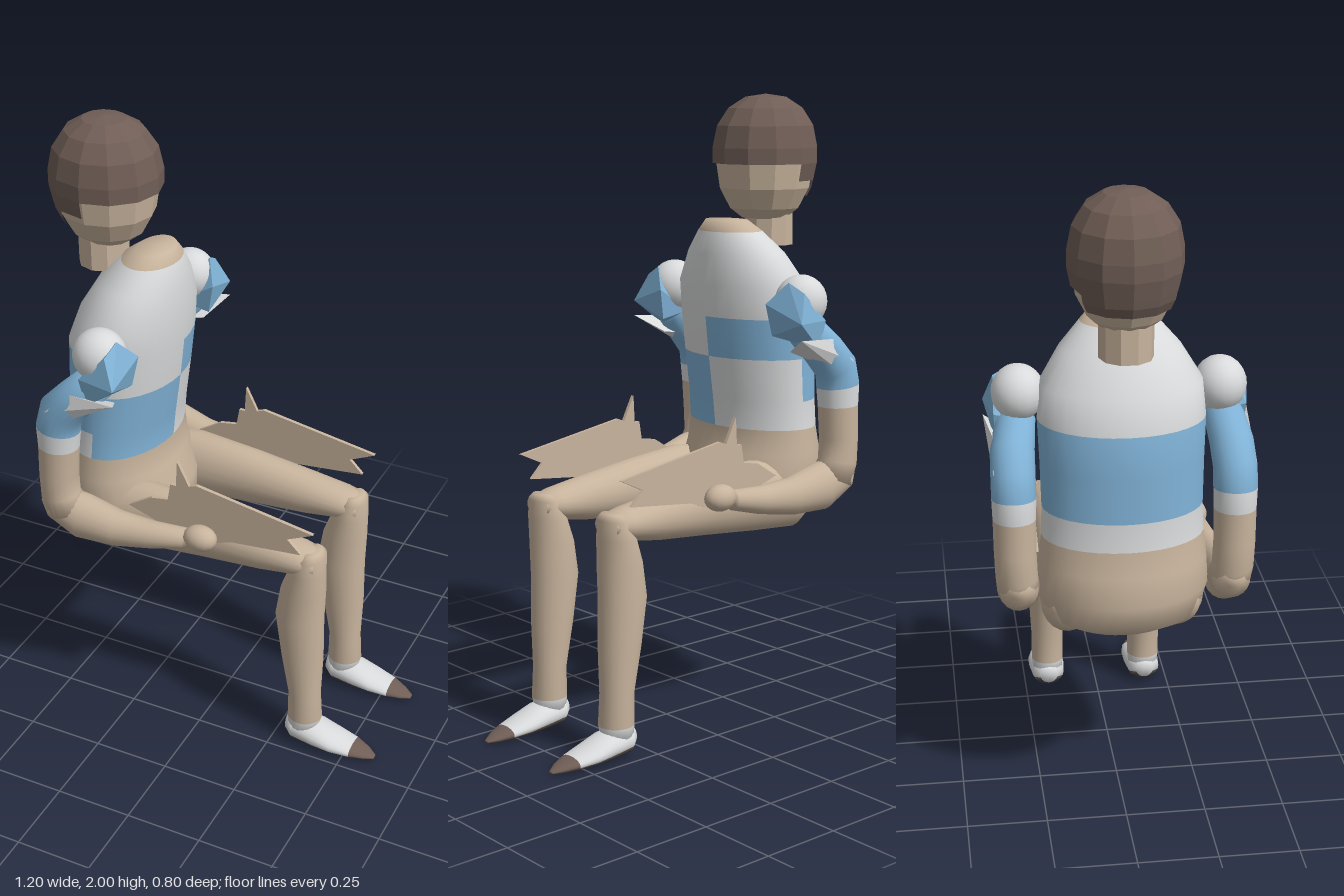
import * as THREE from 'three';
import { ConvexGeometry } from 'three/addons/geometries/ConvexGeometry.js';

const mat = (name, color, extra = {}) => {
  const m = new THREE.MeshStandardMaterial({ color, ...extra });
  m.name = name;
  return m;
};

export function createModel() {
  const root = new THREE.Group();
  root.name = 'seatedFigure';
  const skin = mat('skin', 0xc8b49d, { side: THREE.DoubleSide });
  const white = mat('white', 0xd9dadb);
  const blue = mat('blue', 0x80b2d6);
  const brown = mat('brown', 0x705e56);
  const dark = mat('soleGrey', 0x4a484b);
  const faceted = (m) => {
    const c = m.clone();
    c.flatShading = true;
    return c;
  };
  const hairMat = faceted(brown), faceMat = faceted(skin), blueFold = faceted(blue), whiteFold = faceted(white);
  hairMat.side = THREE.DoubleSide;
  const palette = [skin, white, blue, brown, dark];
  const SKIN = 0, WHITE = 1, BLUE = 2, BROWN = 3, DARK = 4;

  const add = (name, geo, material, parent = root) => {
    const m = new THREE.Mesh(geo, material);
    m.name = name;
    parent.add(m);
    return m;
  };

  // Closed tube through elliptical rings [x, y, inPlaneRadius, zRadius, z].
  // dir fixes the ring axis; otherwise it follows the path. pick(p, angle) chooses the colour.
  function loft(rings, pick = () => SKIN, dir = null, n = 20) {
    const pos = [], faces = palette.map(() => []);
    rings.forEach(([x, y, ru, rv, z], i) => {
      const a = rings[Math.max(0, i - 1)], b = rings[Math.min(rings.length - 1, i + 1)];
      const t = new THREE.Vector2(...(dir || [b[0] - a[0], b[1] - a[1]])).normalize();
      for (let j = 0; j < n; j++) {
        const w = (j / n) * Math.PI * 2, c = ru * Math.cos(w);
        pos.push(x - t.y * c, y + t.x * c, z + rv * Math.sin(w));
      }
    });
    for (let i = 0; i < rings.length - 1; i++) {
      const p = [0, 1].map((k) => (rings[i][k] + rings[i + 1][k]) / 2);
      for (let j = 0; j < n; j++) {
        const k = (j + 1) % n, a = i * n + j, b = i * n + k;
        faces[pick(p, ((j + 0.5) / n) * Math.PI * 2)].push(a, b, b + n, a, b + n, a + n);
      }
    }
    // End caps
    [0, rings.length - 1].forEach((i) => {
      const [x, y, , , z] = rings[i], c = pos.length / 3;
      pos.push(x, y, z);
      for (let j = 0; j < n; j++) {
        const a = i * n + j, b = i * n + ((j + 1) % n);
        faces[pick([x, y], 0)].push(c, ...(i ? [a, b] : [b, a]));
      }
    });
    const g = new THREE.BufferGeometry();
    g.setAttribute('position', new THREE.Float32BufferAttribute(pos, 3));
    g.setIndex(faces.flat());
    let start = 0;
    faces.forEach((f, k) => {
      if (f.length) g.addGroup(start, f.length, k);
      start += f.length;
    });
    g.computeVertexNormals();
    return g;
  }

  // Torso: rows of height, back x, front x, half width
  const torso = [
    [0.61, -0.42, -0.27, 0.1], [0.635, -0.48, -0.2, 0.18], [0.68, -0.55, -0.16, 0.24],
    [0.77, -0.575, -0.16, 0.262], [0.86, -0.555, -0.2, 0.255], [0.94, -0.54, -0.21, 0.245],
    [1.03, -0.537, -0.2, 0.242], [1.17, -0.535, -0.18, 0.245], [1.3, -0.53, -0.165, 0.25],
    [1.4, -0.49, -0.16, 0.243], [1.5, -0.43, -0.165, 0.18], [1.57, -0.36, -0.18, 0.115],
    [1.605, -0.31, -0.2, 0.08],
  ].map(([y, b, f, hz]) => [(b + f) / 2, y, (f - b) / 2, hz, 0]);
  const shirt = ([, y], w) => {
    if (y < 0.94 || y > 1.57) return SKIN;
    if (Math.cos(w) > 0) return y > 1.03 && y < 1.3 ? BLUE : WHITE;
    if (Math.sin(w) > 0) return y < 1.17 ? BLUE : WHITE;
    return y > 1.17 && y < 1.3 ? BLUE : WHITE;
  };
  add('torso', loft(torso, shirt, [0, 1], 32), palette);

  // Head, hair and neck
  const head = new THREE.Group();
  head.name = 'head';
  head.position.x = -0.422;
  head.scale.x = 1.07;
  root.add(head);
  const lathe = (pts, start = 0, len = Math.PI * 2) =>
    new THREE.LatheGeometry(pts.map((p) => new THREE.Vector2(...p)), Math.round((len / Math.PI) * 6), start, len);
  add('face', lathe([[0, 1.6], [0.07, 1.603], [0.11, 1.635], [0.143, 1.7], [0.156, 1.79]]), faceMat, head);
  add('hairCap', lathe([[0.15, 1.78], [0.167, 1.78], [0.167, 1.83], [0.153, 1.9], [0.118, 1.955], [0.065, 1.99], [0, 2]]), hairMat, head);
  add('hairBack', lathe([[0.136, 1.67], [0.15, 1.7], [0.167, 1.78]], Math.PI * 7 / 6, Math.PI * 2 / 3), hairMat, head);
  add('hairSides', lathe([[0.156, 1.725], [0.167, 1.78]], Math.PI, Math.PI), hairMat, head);
  add('neck', new THREE.CylinderGeometry(0.08, 0.08, 0.12, 10), faceMat).position.set(-0.44, 1.575, 0);

  for (const s of [1, -1]) {
    const side = new THREE.Group();
    side.name = s > 0 ? 'frontSideLimbs' : 'backSideLimbs';
    root.add(side);
    const place = (rings) => rings.map(([x, y, ru, rv, z]) => [x, y, ru, rv, s * z]);
    const fold = (name, pts, m) =>
      add(name, new ConvexGeometry(pts.map(([x, y, z]) => new THREE.Vector3(x, y, s * z))), m, side);

    // Thigh and shin with ankle band
    add('thigh', loft(place([
      [-0.47, 0.72, 0.06, 0.06, 0.16], [-0.38, 0.715, 0.11, 0.085, 0.165], [-0.2, 0.735, 0.115, 0.08, 0.172],
      [0, 0.735, 0.095, 0.074, 0.172], [0.2, 0.73, 0.072, 0.07, 0.172], [0.32, 0.73, 0.052, 0.068, 0.172],
      [0.385, 0.73, 0.035, 0.055, 0.172],
    ]), undefined, [1, 0]), palette, side);
    add('shin', loft(place([
      [0.345, 0.05, 0.05, 0.05, 0.17], [0.35, 0.1, 0.057, 0.055, 0.17], [0.347, 0.2, 0.053, 0.055, 0.17],
      [0.335, 0.35, 0.07, 0.063, 0.17], [0.323, 0.5, 0.08, 0.067, 0.17], [0.333, 0.61, 0.073, 0.066, 0.17],
      [0.347, 0.69, 0.058, 0.066, 0.172], [0.36, 0.75, 0.043, 0.06, 0.172], [0.365, 0.768, 0.025, 0.04, 0.172],
    ]), ([, y]) => (y < 0.1 ? WHITE : SKIN), [0, 1]), palette, side);

    // Shoe with white upper, brown rim and sole
    add('shoe', loft(place([
      [0.292, 0.055, 0.03, 0.03, 0.17], [0.32, 0.05, 0.046, 0.054, 0.17], [0.4, 0.042, 0.042, 0.062, 0.17],
      [0.46, 0.03, 0.03, 0.06, 0.17], [0.525, 0.02, 0.02, 0.048, 0.168], [0.57, 0.012, 0.012, 0.03, 0.167],
      [0.6, 0.006, 0.004, 0.01, 0.167],
    ]), ([x], w) => (Math.cos(w) < -0.7 ? DARK : Math.cos(w) > -0.3 && x < 0.52 ? WHITE : BROWN), [1, 0]), palette, side);

    // Shoulder ball, gathered sleeve and upper arm
    const shoulder = add('shoulder', new THREE.SphereGeometry(1, 18, 12), white, side);
    shoulder.scale.set(0.085, 0.085, 0.08);
    shoulder.position.set(-0.295, 1.365, s * 0.3);
    fold('sleeveFlare', [[-0.2, 1.31, 0.4], [-0.19, 1.36, 0.25], [-0.21, 1.26, 0.26], [-0.23, 1.43, 0.31],
      [-0.31, 1.22, 0.37], [-0.32, 1.28, 0.26], [-0.24, 1.4, 0.37], [-0.33, 1.31, 0.375]], blueFold);
    fold('sleeveFold', [[-0.2, 1.26, 0.4], [-0.45, 1.17, 0.387], [-0.33, 1.2, 0.29], [-0.42, 1.13, 0.37],
      [-0.25, 1.21, 0.3], [-0.36, 1.25, 0.38]], whiteFold);
    add('upperArm', loft(place([
      [-0.3, 1.28, 0.06, 0.06, 0.31], [-0.37, 1.21, 0.065, 0.066, 0.325], [-0.425, 1.15, 0.07, 0.066, 0.328],
      [-0.438, 1.09, 0.072, 0.066, 0.328], [-0.44, 1.025, 0.066, 0.064, 0.328], [-0.445, 0.92, 0.063, 0.063, 0.328],
      [-0.445, 0.84, 0.063, 0.063, 0.325], [-0.42, 0.78, 0.075, 0.065, 0.318],
    ]), ([, y]) => (y < 1.025 ? SKIN : y < 1.09 ? WHITE : BLUE)), palette, side);

    // Forearm, wrist and hand
    add('forearm', loft(place([
      [-0.5, 0.82, 0.03, 0.03, 0.32], [-0.46, 0.8, 0.06, 0.058, 0.32], [-0.37, 0.765, 0.078, 0.065, 0.315],
      [-0.25, 0.75, 0.06, 0.055, 0.308], [-0.13, 0.755, 0.045, 0.043, 0.298], [-0.02, 0.77, 0.032, 0.034, 0.288],
    ])), palette, side);
    const hand = add('hand', new THREE.SphereGeometry(1, 14, 10), skin, side);
    hand.scale.set(0.056, 0.042, 0.042);
    hand.position.set(0.03, 0.785, s * 0.288);

    // Thin pointed flap beside the thigh
    const outline = [[-0.24, 0.81], [-0.16, 0.86], [-0.1, 0.87], [-0.09, 0.93], [-0.07, 0.93], [-0.065, 1.02],
      [-0.025, 0.94], [0, 0.95], [0.395, 0.885], [0.31, 0.845], [0.355, 0.8], [0.12, 0.775], [0, 0.73], [-0.12, 0.77]];
    const flap = new THREE.ExtrudeGeometry(new THREE.Shape(outline.map((p) => new THREE.Vector2(...p))),
      { depth: 0.012, bevelEnabled: false });
    add('pointedFlap', flap, faceMat, side).position.z = s * 0.248 - 0.006;
  }
  return root;
}
